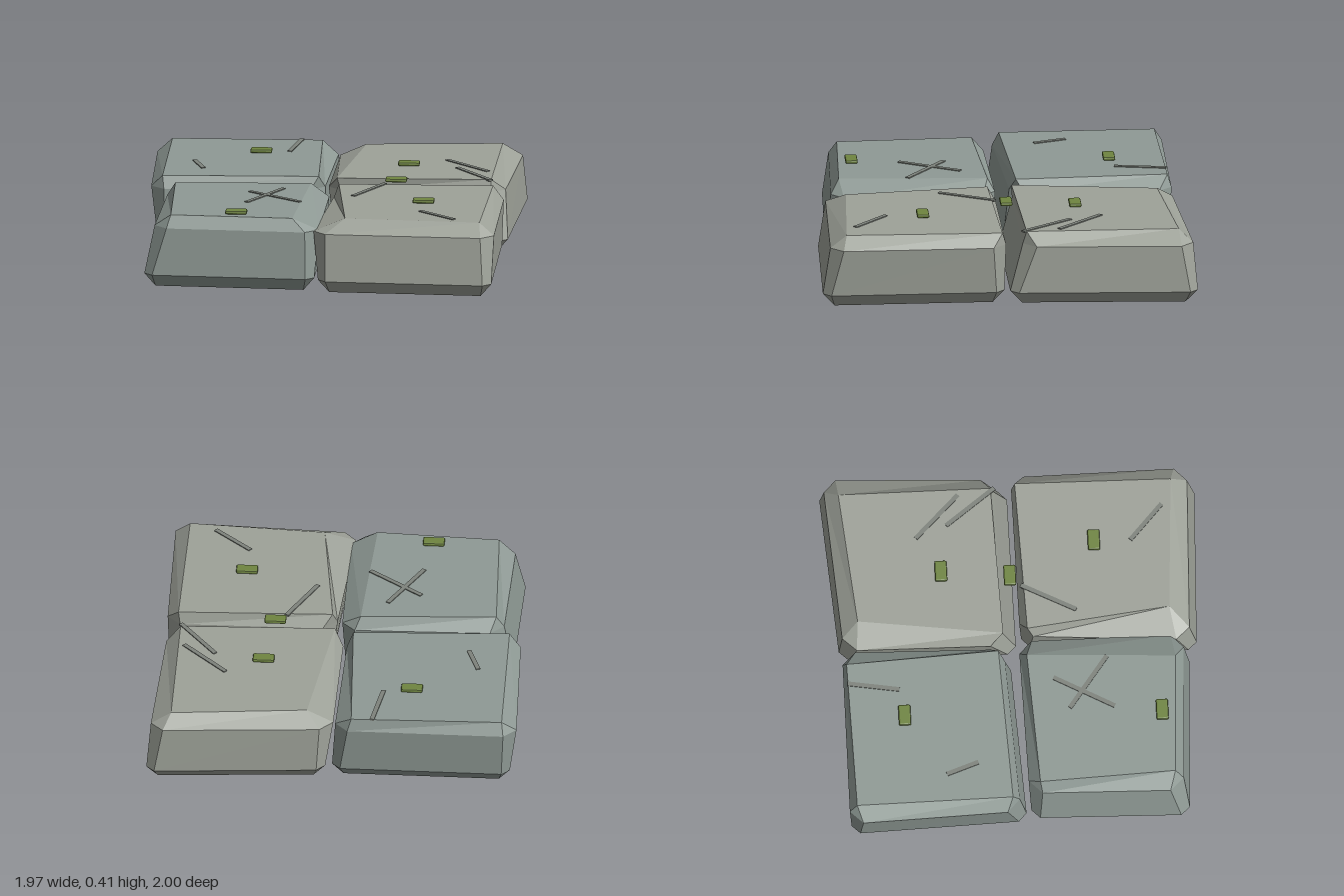
import * as THREE from 'three';
import { RoundedBoxGeometry } from 'three/addons/geometries/RoundedBoxGeometry.js';

const TOP = 0.385;

const material = (color) => new THREE.MeshStandardMaterial({ color, flatShading: true });
const coolStone = material(0x8f9a95);
const warmStone = material(0x9ea299);
const crackMaterial = material(0x7e837c);
const mossMaterial = material(0x6f8540);

// Four corners from x, z pairs: back left, back right, front right, front left
const corners = (list) => [0, 2, 4, 6].map((k) => new THREE.Vector2(list[k], list[k + 1]));

// Cuts each corner of a quad by a distance, giving eight points at height y
function ring(quad, cut, y) {
  return quad.flatMap((p, i) => [quad[(i + 3) % 4], quad[(i + 1) % 4]].map((q) => {
    const v = q.clone().sub(p).setLength(cut).add(p);
    return new THREE.Vector3(v.x, y, v.y);
  }));
}

// A chamfered slab: worn top face, upper outline, and how far each side
// leans outward towards the ground (back, right, front, left)
function stoneGeometry(topList, upperList, [back, right, front, left]) {
  const top = corners(topList);
  const upper = corners(upperList);
  const lean = corners([-left, -back, right, -back, right, front, -left, front]);
  const lower = upper.map((p, i) => p.clone().add(lean[i]));
  const centre = lower.reduce((sum, p) => sum.addScaledVector(p, 0.25), new THREE.Vector2());
  const bottom = lower.map((p) => p.clone().lerp(centre, 0.13));
  const rings = [ring(top, 0, TOP), ring(upper, 0.07, 0.32), ring(lower, 0.045, 0.07), ring(bottom, 0, 0)];

  const points = [];
  const triangle = (a, b, c) => {
    if (!a.equals(b) && !b.equals(c) && !c.equals(a)) points.push(a, b, c);
  };
  const face = (a, b, c, d) => { triangle(a, b, c); triangle(a, c, d); };
  // Bevels and sides
  for (let r = 0; r < 3; r++) {
    for (let i = 0; i < 8; i++) {
      const j = (i + 1) % 8;
      face(rings[r][i], rings[r][j], rings[r + 1][j], rings[r + 1][i]);
    }
  }
  // Top and underside
  const [t, , , b] = rings;
  face(t[6], t[4], t[2], t[0]);
  face(b[0], b[2], b[4], b[6]);
  const geometry = new THREE.BufferGeometry().setFromPoints(points);
  geometry.computeVertexNormals();
  return geometry;
}

export function createModel() {
  const model = new THREE.Group();
  model.name = 'pavingStones';
  const add = (name, geometry, mat) => {
    const mesh = new THREE.Mesh(geometry, mat);
    mesh.name = name;
    model.add(mesh);
    return mesh;
  };

  // Four stones
  add('backLeftStone', stoneGeometry(
    [-0.9, -0.88, -0.1, -0.9, -0.06, -0.09, -0.89, -0.05],
    [-0.98, -0.92, -0.01, -0.92, -0.03, -0.06, -0.95, -0.01],
    [-0.01, 0.015, 0.035, -0.035],
  ), coolStone);
  add('backRightStone', stoneGeometry(
    [0.14, -0.83, 0.86, -0.9, 0.86, -0.09, 0.04, -0.06],
    [0, -0.91, 0.97, -0.98, 0.93, -0.07, -0.01, -0.06],
    [0.02, 0.02, 0.07, -0.04],
  ), warmStone);
  add('frontLeftStone', stoneGeometry(
    [-0.81, 0.1, -0.09, 0.06, -0.13, 0.85, -0.78, 0.82],
    [-0.85, 0.04, 0.01, 0.02, 0.01, 0.9, -0.87, 0.86],
    [-0.01, -0.02, 0.03, 0.05],
  ), coolStone);
  add('frontRightStone', stoneGeometry(
    [0.06, 0.07, 0.88, 0.04, 0.87, 0.87, 0.15, 0.83],
    [0.04, 0.03, 0.94, 0.02, 0.95, 0.96, -0.02, 0.93],
    [-0.01, -0.01, 0.04, -0.03],
  ), warmStone);

  // Surface cracks, from x, z to x, z
  const crack = (x1, z1, x2, z2) => {
    const length = Math.hypot(x2 - x1, z2 - z1);
    const mesh = add('crack', new THREE.BoxGeometry(length, 0.01, 0.024), crackMaterial);
    mesh.position.set((x1 + x2) / 2, TOP, (z1 + z2) / 2);
    mesh.rotation.y = -Math.atan2(z2 - z1, x2 - x1);
  };
  crack(-0.21, -0.9, -0.255, -0.625);
  crack(-0.745, -0.395, -0.685, -0.225);
  crack(0.595, -0.5, 0.83, -0.265);
  crack(0.66, -0.335, 0.86, -0.07);
  crack(0.305, 0.045, 0.155, 0.335);
  crack(0.535, 0.64, 0.73, 0.815);
  crack(-0.225, 0.195, -0.4, 0.515);
  crack(-0.4, 0.275, -0.115, 0.485);

  // Moss patches
  const moss = (x, z) => {
    const geometry = new RoundedBoxGeometry(0.115, 0.02, 0.065, 1, 0.008);
    add('mossPatch', geometry, mossMaterial).position.set(x, 0.396, z);
  };
  moss(-0.405, -0.605);
  moss(0.4, -0.375);
  moss(0.36, -0.01);
  moss(0.54, 0.445);
  moss(-0.435, 0.765);

  return model;
}
